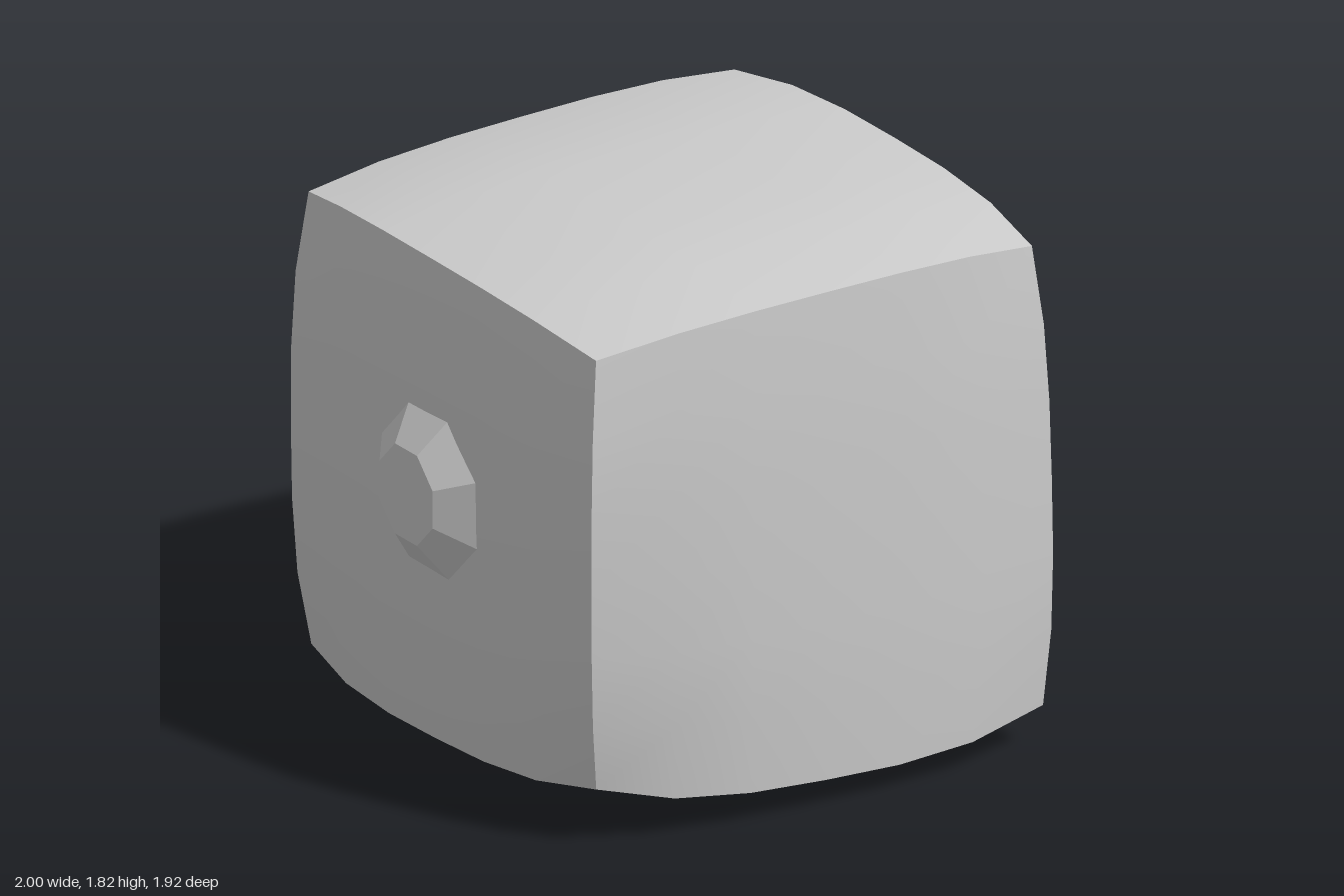
import * as THREE from 'three';

// Control points of the block: corners, edge middles and face centres,
// listed by layer (bottom, middle, top), row (back to front), then x from - to +.
const CAGE = [
  [[[-0.81, 0.16, -0.79], [0, 0.10, -0.84], [0.84, 0.14, -0.81]],
    [[-0.86, 0.12, 0], [0, 0.005, 0.03], [0.86, 0.08, 0]],
    [[-0.78, 0.20, 0.80], [0, 0.10, 0.92], [0.86, 0.14, 0.85]]],
  [[[-0.88, 0.92, -0.80], [0, 0.92, -0.89], [0.85, 0.92, -0.845]],
    [[-0.92, 0.93, 0.03], [0, 0.91, 0], [0.925, 0.93, 0.03]],
    [[-0.85, 0.92, 0.88], [0, 0.92, 0.955], [0.87, 0.92, 0.885]]],
  [[[-0.83, 1.70, -0.775], [0, 1.75, -0.83], [0.79, 1.74, -0.815]],
    [[-0.88, 1.75, 0], [0, 1.825, 0.03], [0.86, 1.77, 0]],
    [[-0.82, 1.68, 0.86], [0, 1.76, 0.94], [0.815, 1.705, 0.855]]],
];

// Blend weights for -1, 0, +1: flat in the middle, bending near the ends
function weights(a) {
  const b = Math.abs(a) ** 3;
  return [(b - a) / 2, 1 - b, (b + a) / 2];
}

function makeBody(material) {
  const geo = new THREE.BoxGeometry(2, 2, 2, 6, 6, 6);
  const pos = geo.attributes.position;
  for (let n = 0; n < pos.count; n++) {
    const wx = weights(pos.getX(n));
    const wy = weights(pos.getY(n));
    const wz = weights(pos.getZ(n));
    const p = [0, 0, 0];
    CAGE.forEach((layer, j) => layer.forEach((row, k) => row.forEach((c, i) => {
      const w = wx[i] * wy[j] * wz[k];
      for (let d = 0; d < 3; d++) p[d] += w * c[d];
    })));
    pos.setXYZ(n, ...p);
  }
  // Box faces do not share vertices, so the block's edges stay sharp
  geo.computeVertexNormals();
  const mesh = new THREE.Mesh(geo, material);
  mesh.name = 'body';
  return mesh;
}

// Eight-sided stud whose flat cap is centred on "tip" and faces along "dir"
function makeStud(name, tip, dir, material) {
  const height = 0.1;
  const geo = new THREE.CylinderGeometry(0.165, 0.31, height, 8);
  geo.rotateY(Math.PI / 8);
  geo.translate(0, -height / 2, 0);
  const mesh = new THREE.Mesh(geo, material);
  mesh.quaternion.setFromUnitVectors(new THREE.Vector3(0, 1, 0), new THREE.Vector3(...dir).normalize());
  mesh.position.set(...tip);
  mesh.name = name;
  return mesh;
}

export function createModel() {
  const group = new THREE.Group();
  group.name = 'studdedBlock';
  const smooth = new THREE.MeshStandardMaterial({ color: 0xcccccc });
  const faceted = new THREE.MeshStandardMaterial({ color: 0xcccccc, flatShading: true });

  group.add(makeBody(smooth));

  // Studs on both sides and the back, slightly tilted
  group.add(makeStud('leftStud', [0.99, 0.925, 0.015], [1, -0.05, 0.04], faceted));
  group.add(makeStud('rightStud', [-1, 0.99, 0.045], [-1, 0, 0], faceted));
  group.add(makeStud('backStud', [-0.075, 0.955, -0.96], [0, 0, -1], faceted));
  return group;
}
